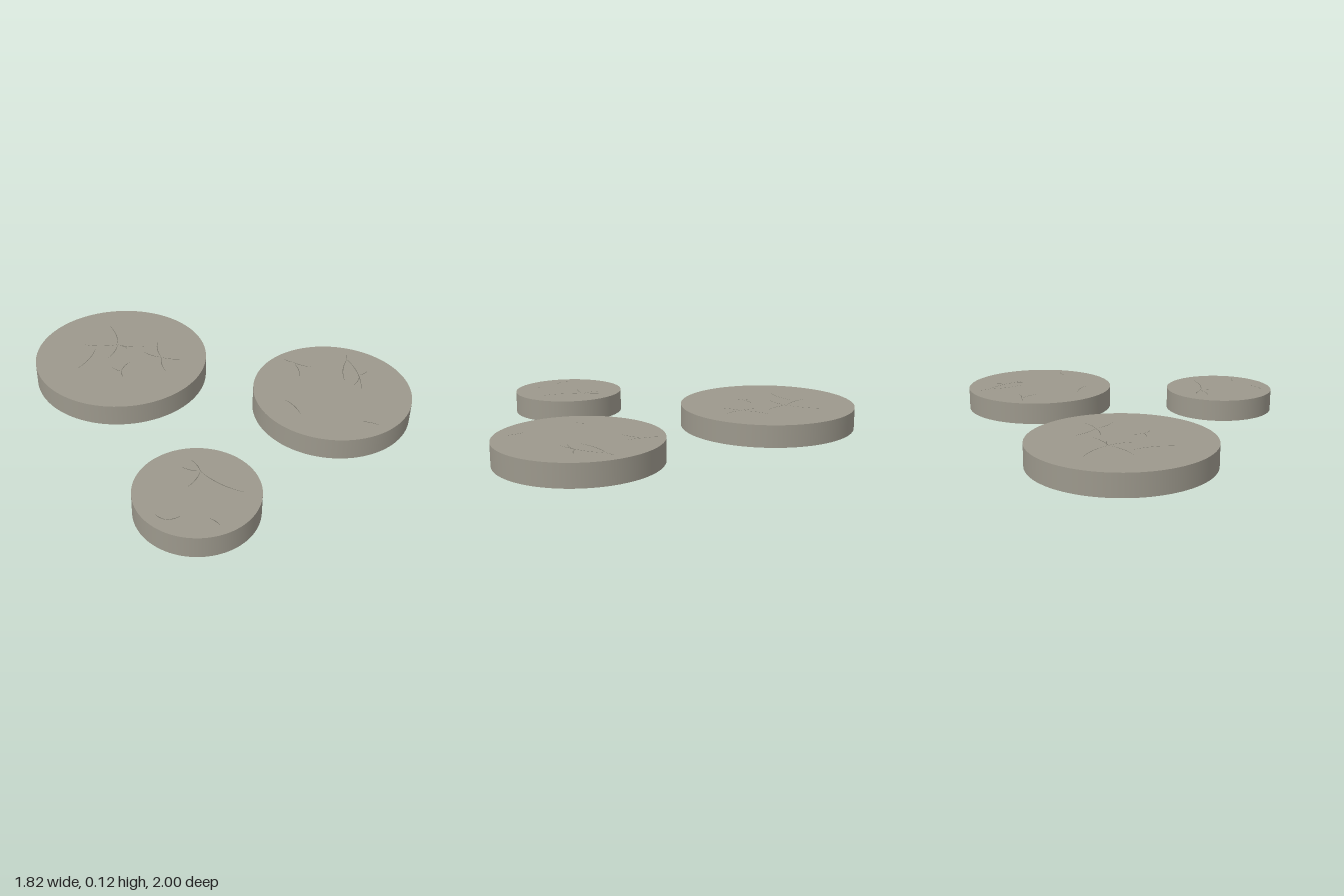
import * as THREE from 'three';

const HEIGHT = 0.12;
const stone = new THREE.MeshStandardMaterial({ color: 0x9c988c });
const crackStone = new THREE.MeshStandardMaterial({ color: 0x6e6b62 });

// Hairline ribbon from a hub to a tip, gently bowed and tapering to both ends
function crackGeometry([x0, z0], [x1, z1], bow) {
  const curve = new THREE.QuadraticBezierCurve3(
    new THREE.Vector3(x0, 0, z0),
    new THREE.Vector3((x0 + x1) / 2 + bow * (z1 - z0), 0, (z0 + z1) / 2 - bow * (x1 - x0)),
    new THREE.Vector3(x1, 0, z1),
  );
  const steps = 12, positions = [], normals = [], index = [];
  for (let i = 0; i <= steps; i++) {
    const t = i / steps;
    const p = curve.getPoint(t), d = curve.getTangent(t);
    const half = 0.0005 + 0.0013 * Math.sin(Math.PI * t);
    for (const side of [-1, 1]) {
      positions.push(p.x + side * half * d.z, 0, p.z - side * half * d.x);
      normals.push(0, 1, 0);
    }
    if (i < steps) {
      const a = i * 2;
      index.push(a, a + 2, a + 1, a + 1, a + 2, a + 3);
    }
  }
  const geometry = new THREE.BufferGeometry();
  geometry.setAttribute('position', new THREE.Float32BufferAttribute(positions, 3));
  geometry.setAttribute('normal', new THREE.Float32BufferAttribute(normals, 3));
  geometry.setIndex(index);
  return geometry;
}

// Round slab; each crack cluster is a hub [x, z] followed by the tips of its branches
function makeSlab(name, x, z, radius, clusters) {
  const slab = new THREE.Group();
  slab.name = name;

  const body = new THREE.Mesh(new THREE.CylinderGeometry(radius, radius, HEIGHT, 96), stone);
  body.name = 'stoneDisc';
  body.position.set(x, HEIGHT / 2, z);
  slab.add(body);

  // Surface cracks, just clear of the top face
  for (const [hub, ...tips] of clusters) {
    tips.forEach((tip, i) => {
      const crack = new THREE.Mesh(crackGeometry(hub, tip, i % 2 ? -0.15 : 0.15), crackStone);
      crack.name = 'crack';
      crack.position.y = HEIGHT + 0.0008;
      slab.add(crack);
    });
  }
  return slab;
}

export function createModel() {
  const model = new THREE.Group();
  model.name = 'steppingStones';
  model.add(
    makeSlab('largeSlab', -0.06, -0.515, 0.485, [
      [[0, -0.61], [-0.13, -0.75], [0.11, -0.8], [-0.13, -0.55], [0.09, -0.48], [0.01, -0.54]],
      [[-0.17, -0.4], [-0.18, -0.46], [-0.2, -0.35], [-0.07, -0.43]],
      [[0.08, -0.33], [0.18, -0.46], [0, -0.22], [0.05, -0.45], [0.15, -0.23]],
      [[-0.12, -0.67], [-0.32, -0.6]],
    ]),
    makeSlab('mediumSlab', 0.482, 0.57, 0.427, [
      [[0.55, 0.25], [0.54, 0.19], [0.58, 0.35], [0.47, 0.36]],
      [[0.24, 0.43], [0.2, 0.57]],
      [[0.78, 0.46], [0.82, 0.43], [0.6, 0.57], [0.6, 0.68]],
      [[0.7, 0.6], [0.6, 0.63], [0.76, 0.61]],
      [[0.35, 0.83], [0.4, 0.93]],
    ]),
    makeSlab('smallSlab', -0.602, 0.57, 0.311, [
      [[-0.49, 0.49], [-0.53, 0.4], [-0.46, 0.4], [-0.61, 0.52], [-0.46, 0.74]],
      [[-0.84, 0.6], [-0.85, 0.54], [-0.78, 0.63]],
      [[-0.7, 0.74], [-0.7, 0.8]],
    ]),
  );
  return model;
}
